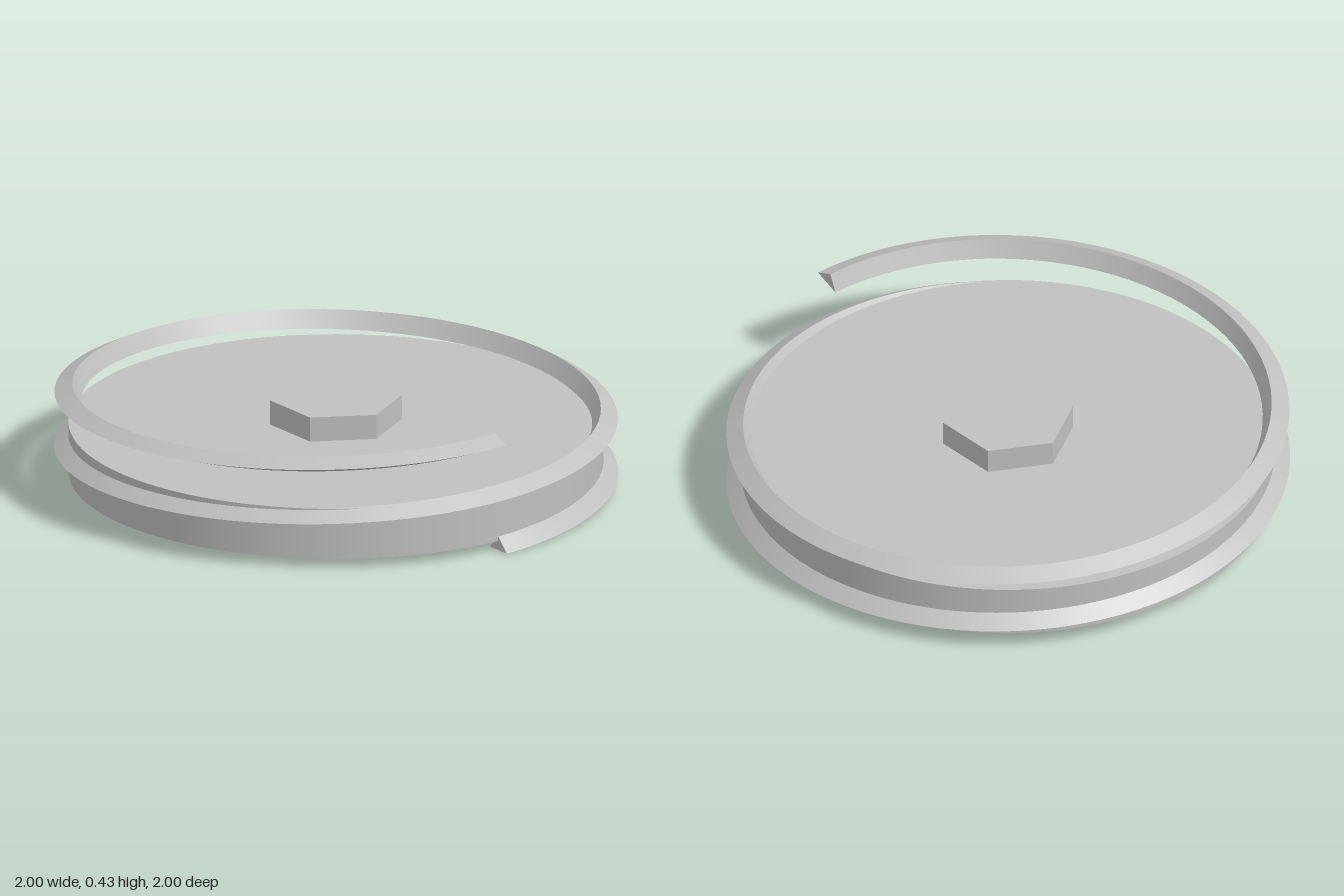
import * as THREE from 'three';

const TURNS = 2, STEPS = 192, RADIUS = 0.949, RISE = 0.385, TWIST = 0.4;

// Triangular thread section, counter-clockwise in (outward, up)
const SECTION = [[-0.05, 0], [0.05, 0], [0, 0.05]];

// Section corner on the helix; the section leans gradually along the path
function threadPoint([u, v], f) {
  const a = f * TURNS * Math.PI * 2, w = f * TWIST;
  const r = RADIUS + u * Math.cos(w) - v * Math.sin(w);
  const y = f * RISE + u * Math.sin(w) + v * Math.cos(w);
  return [r * Math.cos(a), y, -r * Math.sin(a)];
}

// Each side of the thread has its own vertices, so the edges stay sharp
function threadGeometry() {
  const pos = [], index = [];
  SECTION.forEach((a, k) => {
    const b = SECTION[(k + 1) % 3], base = pos.length / 3;
    for (let i = 0; i <= STEPS; i++) {
      pos.push(...threadPoint(a, i / STEPS), ...threadPoint(b, i / STEPS));
      if (i === STEPS) break;
      const n = base + i * 2;
      index.push(n, n + 2, n + 1, n + 1, n + 2, n + 3);
    }
  });
  // End caps
  for (const f of [0, 1]) {
    const n = pos.length / 3;
    SECTION.forEach(p => pos.push(...threadPoint(p, f)));
    index.push(n, n + (f ? 2 : 1), n + (f ? 1 : 2));
  }
  const g = new THREE.BufferGeometry();
  g.setAttribute('position', new THREE.Float32BufferAttribute(pos, 3));
  g.setIndex(index);
  g.computeVertexNormals();
  return g;
}

export function createModel() {
  const group = new THREE.Group();
  group.name = 'threadedCap';
  const grey = new THREE.MeshStandardMaterial({ color: 0xc0c0c0 });
  grey.name = 'grey';

  const add = (name, geometry, y = 0, material = grey) => {
    const mesh = new THREE.Mesh(geometry, material);
    mesh.name = name;
    mesh.position.y = y;
    group.add(mesh);
    return mesh;
  };

  // Round plate
  add('disc', new THREE.CylinderGeometry(0.947, 0.947, 0.187, 96), 0.1265);

  // Hexagonal grip with corners on the x axis
  const hex = new THREE.CylinderGeometry(0.236, 0.236, 0.1, 6).toNonIndexed();
  hex.rotateY(Math.PI / 2);
  hex.computeVertexNormals();
  add('hexHead', hex, 0.26);

  // Spiral thread rising above the plate
  add('thread', threadGeometry());
  return group;
}
